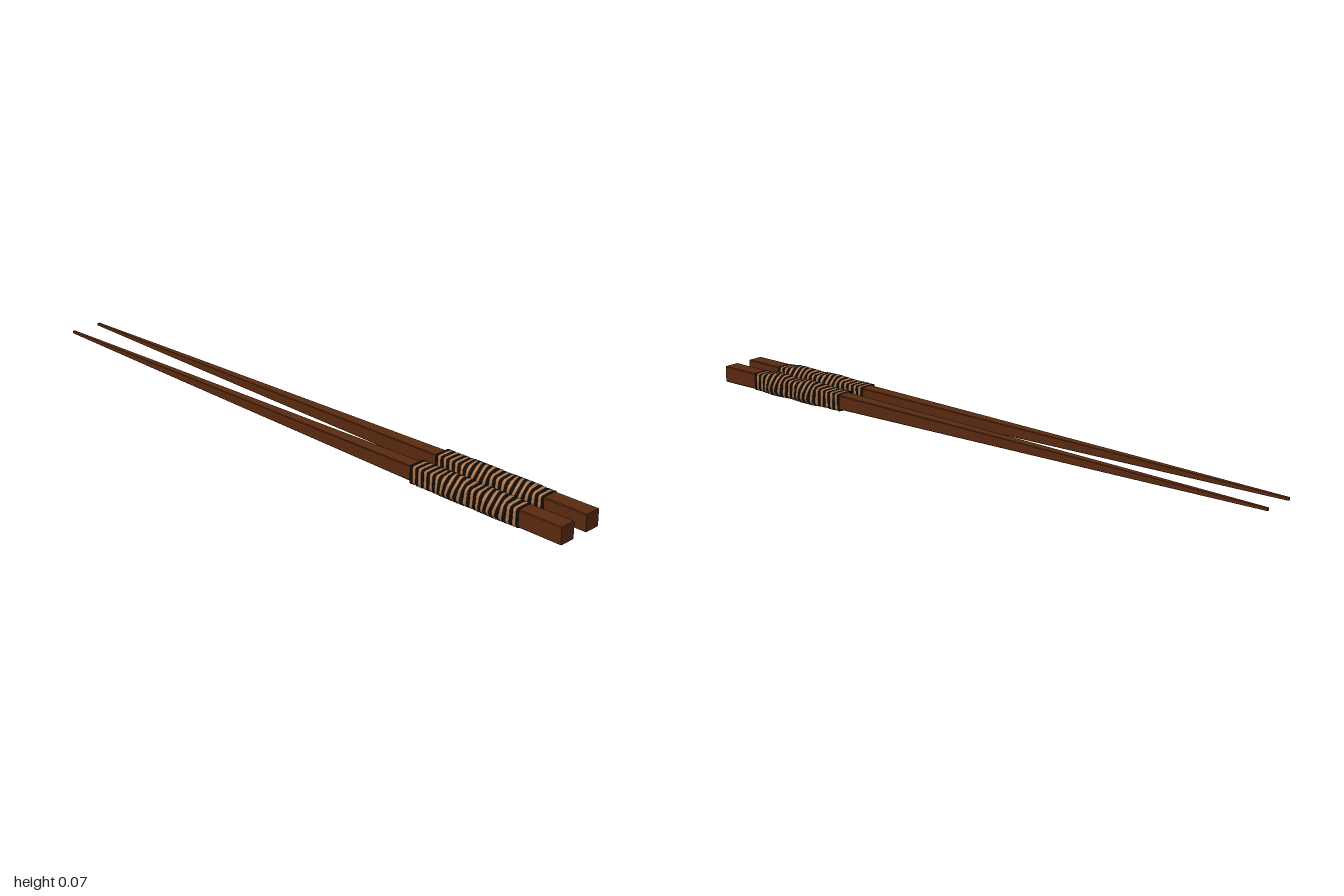
import * as THREE from 'three';

const WOOD = 0x5a2a10, TAN = 0xb07a50, BLACK = 0x120c08;
const START = 0.49, END = 0.865, BANDS = 37;

// Skin over a row of rings along +x, with optional end caps
function loft(rings, caps) {
  const n = rings[0].length, pos = [], idx = [];
  rings.forEach(r => r.forEach(p => pos.push(...p)));
  for (let i = 0; i < rings.length - 1; i++) {
    for (let j = 0; j < n; j++) {
      const k = (j + 1) % n, a = i * n + j, b = i * n + k;
      idx.push(a, b, b + n, a, b + n, a + n);
    }
  }
  if (caps) {
    const last = (rings.length - 1) * n;
    for (let j = 1; j < n - 1; j++) {
      idx.push(0, j + 1, j, last, last + j, last + j + 1);
    }
  }
  const g = new THREE.BufferGeometry();
  g.setAttribute('position', new THREE.Float32BufferAttribute(pos, 3));
  g.setIndex(idx);
  g.computeVertexNormals();
  return g;
}

// Distance from the axis to a square of half-width h
const squareRadius = (h, a) => h / Math.max(Math.abs(Math.cos(a)), Math.abs(Math.sin(a)));
const ringPoint = (x, r, a) => [x, r * Math.cos(a), r * Math.sin(a)];

// Tapered square shaft with narrow chamfers
function shaftGeometry() {
  const taper = [[-1, 0.004], [-0.5, 0.0105], [0, 0.0165], [0.5, 0.0225], [0.86, 0.0255], [1, 0.026]];
  const angles = [];
  for (let k = 0; k < 4; k++) {
    for (const d of [-0.05, 0.05]) angles.push((k + 0.5) * Math.PI / 2 + d);
  }
  return loft(taper.map(([x, h]) => angles.map(a => ringPoint(x, squareRadius(h, a), a))), true);
}

// Two swellings of the wrapped grip
const swell = x => Math.exp(-(((x - 0.64) / 0.045) ** 2)) + Math.exp(-(((x - 0.775) / 0.045) ** 2));

// One slightly domed band, slanted where the grip swells
function bandGeometry(i) {
  const width = (END - START) / BANDS, sides = 32, rings = [];
  for (let s = 0; s <= 4; s++) {
    const x = START + (i + s / 4) * width;
    const bulge = Math.min(1, swell(x));
    const dome = 0.0015 * Math.sin(Math.PI * s / 4);
    const ring = [];
    for (let j = 0; j < sides; j++) {
      const a = j / sides * Math.PI * 2;
      const r = Math.min(squareRadius(0.0265 + 0.0095 * bulge, a), 0.036) + dome;
      ring.push(ringPoint(x + 0.006 * bulge * Math.sin(2 * a), r, a));
    }
    rings.push(ring);
  }
  return loft(rings, false);
}

export function createModel() {
  const model = new THREE.Group();
  const wood = new THREE.MeshStandardMaterial({ color: WOOD, flatShading: true });
  const tan = new THREE.MeshStandardMaterial({ color: TAN, side: THREE.DoubleSide });
  const black = new THREE.MeshStandardMaterial({ color: BLACK, side: THREE.DoubleSide });
  const shaft = shaftGeometry();
  const bands = Array.from({ length: BANDS }, (_, i) => bandGeometry(i));

  for (const side of [1, -1]) {
    const stick = new THREE.Group();
    stick.name = side > 0 ? 'frontChopstick' : 'backChopstick';
    stick.position.set(0, 0.0375, side * 0.051);

    const body = new THREE.Mesh(shaft, wood);
    body.name = 'shaft';
    stick.add(body);

    // Alternating dark and light winding
    const wrap = new THREE.Group();
    wrap.name = 'gripWrap';
    bands.forEach((g, i) => {
      const band = new THREE.Mesh(g, i % 2 ? tan : black);
      band.name = i % 2 ? 'lightBand' : 'darkBand';
      wrap.add(band);
    });
    stick.add(wrap);
    model.add(stick);
  }
  return model;
}
